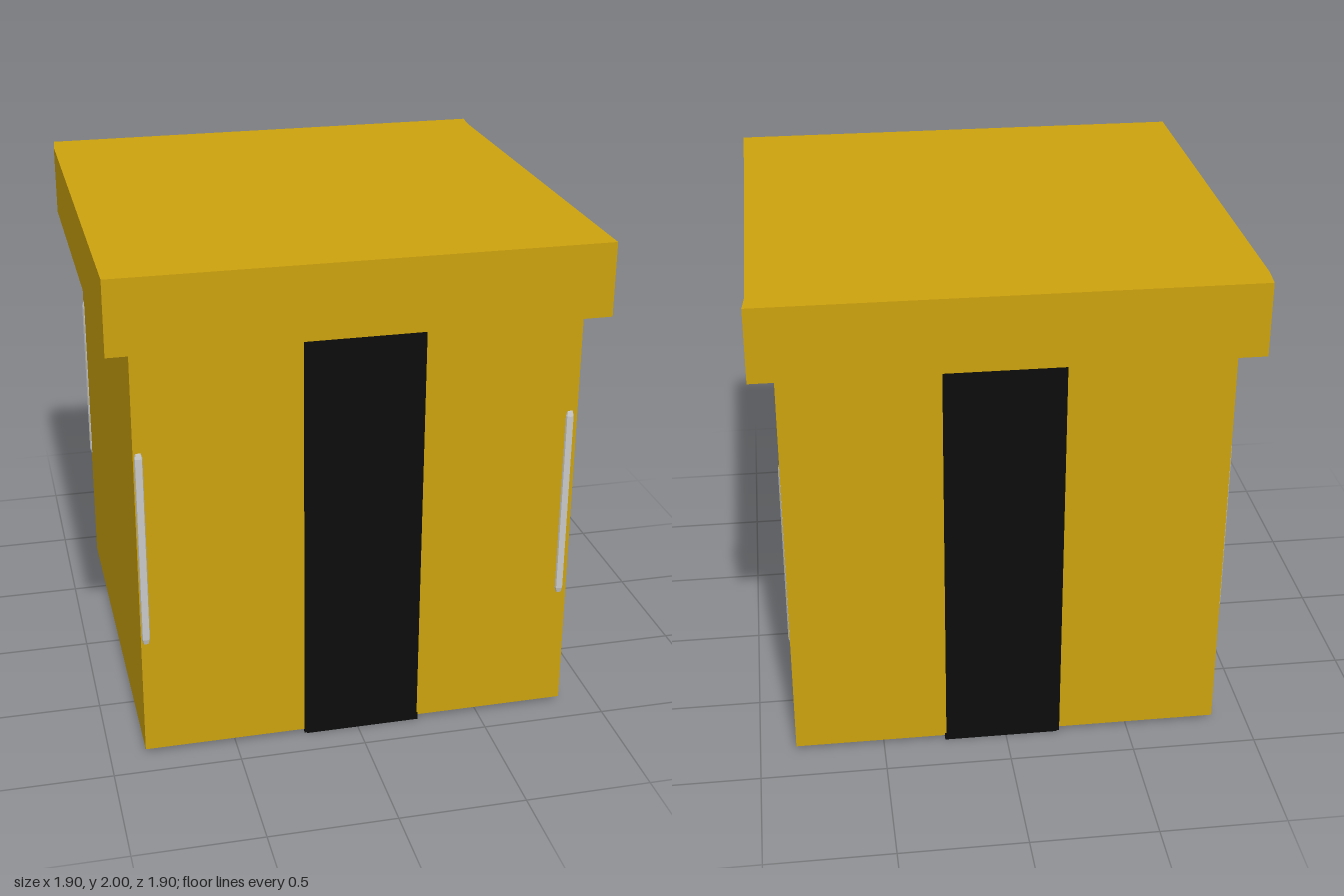
import * as THREE from 'three';

const gold = new THREE.MeshStandardMaterial({ color: 0xcca20e });
const black = new THREE.MeshStandardMaterial({ color: 0x0c0c0c });
const grey = new THREE.MeshStandardMaterial({ color: 0xcccccc, flatShading: true });

// Box given by its limits on each axis
function block(name, material, [x0, x1], [y0, y1], [z0, z1]) {
  const mesh = new THREE.Mesh(new THREE.BoxGeometry(x1 - x0, y1 - y0, z1 - z0), material);
  mesh.position.set((x0 + x1) / 2, (y0 + y1) / 2, (z0 + z1) / 2);
  mesh.name = name;
  return mesh;
}

// Upright eight-sided rod with slightly tapered ends
function rod(name, x, z, y0, y1) {
  const r = 0.018;
  const profile = [[0, y0], [r * 0.7, y0], [r, y0 + 0.02], [r, y1 - 0.02], [r * 0.7, y1], [0, y1]]
    .map(([px, py]) => new THREE.Vector2(px, py));
  const mesh = new THREE.Mesh(new THREE.LatheGeometry(profile, 8), grey);
  mesh.position.set(x, 0, z);
  mesh.name = name;
  return mesh;
}

export function createModel() {
  const model = new THREE.Group();
  model.name = 'giftBox';

  // Body
  model.add(block('body', gold, [-0.86, 0.855], [0.02, 1.71], [-0.84, 0.88]));

  // Lid: overhanging slab with slightly skewed back corners
  const outline = [[-0.95, -0.95], [0.94, -0.95], [0.94, 0.85], [0.95, 0.95], [-0.94, 0.95], [-0.95, 0.85]]
    .map(([x, y]) => new THREE.Vector2(x, y));
  const lidGeometry = new THREE.ExtrudeGeometry(new THREE.Shape(outline), { depth: 0.29, bevelEnabled: false });
  lidGeometry.rotateX(-Math.PI / 2);
  const lid = new THREE.Mesh(lidGeometry, gold);
  lid.position.y = 1.71;
  lid.name = 'lid';
  model.add(lid);

  // Ribbon running down the front, under the base and up the back
  const ribbon = new THREE.Group();
  ribbon.name = 'ribbon';
  ribbon.add(
    block('ribbonFront', black, [-0.22, 0.245], [0.005, 1.71], [0.87, 0.884]),
    block('ribbonBack', black, [-0.22, 0.245], [0.005, 1.71], [-0.845, -0.83]),
    block('ribbonBottom', black, [-0.21, 0.25], [0, 0.03], [-0.844, 0.883]),
  );
  model.add(ribbon);

  // Rods set into the faces near the four corners
  model.add(
    rod('rodFrontRight', -0.84, 0.875, 0.5, 1.3),
    rod('rodFrontLeft', 0.825, 0.875, 0.52, 1.31),
    rod('rodBackLeft', 0.843, -0.8, 0.5, 1.3),
    rod('rodBackRight', -0.85, -0.82, 0.54, 1.29),
  );
  return model;
}
